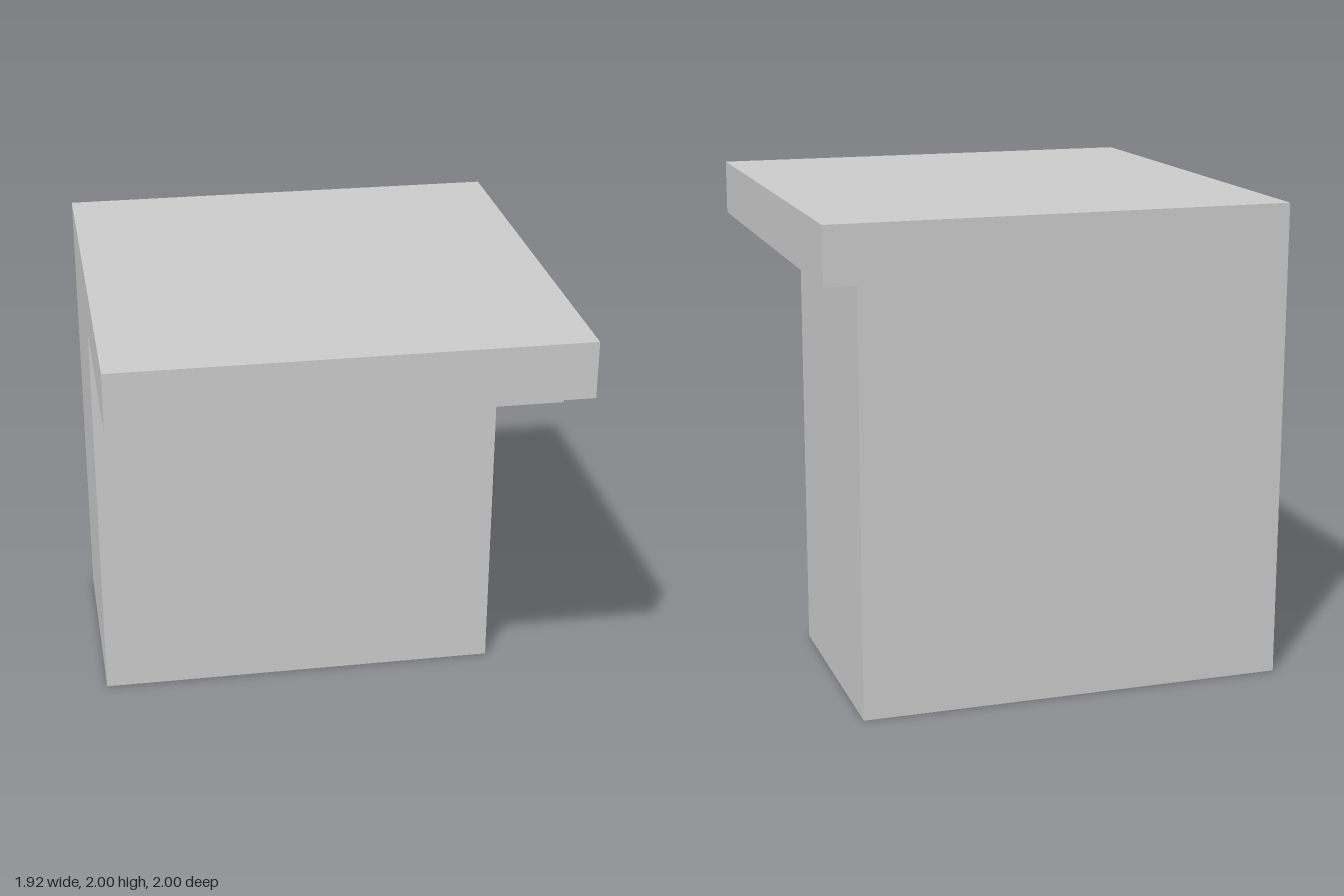
import * as THREE from 'three';

export function createModel() {
  const group = new THREE.Group();
  const material = new THREE.MeshStandardMaterial({ color: 0xcccccc, flatShading: true });

  const left = -0.96, joint = 0.83, right = 0.96;

  // Base and overhanging top as one solid: L-shaped side profile, (z, y)
  const profile = new THREE.Shape(
    [[-1, 0], [0, 0], [0, 1.755], [1, 1.755], [1, 2], [-1, 2]]
      .map(([z, y]) => new THREE.Vector2(-z, y))
  );
  const bodyGeometry = new THREE.ExtrudeGeometry(profile, { depth: joint - left, bevelEnabled: false });
  bodyGeometry.rotateY(Math.PI / 2); // extrude along +x
  bodyGeometry.translate(left, 0, 0);
  const body = new THREE.Mesh(bodyGeometry, material);
  body.name = 'baseAndTop';
  group.add(body);

  // Edge strip along the left side of the top, slightly thinner than it
  const stripBottom = 1.763;
  const strip = new THREE.Mesh(new THREE.BoxGeometry(right - joint, 2 - stripBottom, 2), material);
  strip.position.set((joint + right) / 2, (2 + stripBottom) / 2, 0);
  strip.name = 'edgeStrip';
  group.add(strip);

  return group;
}
